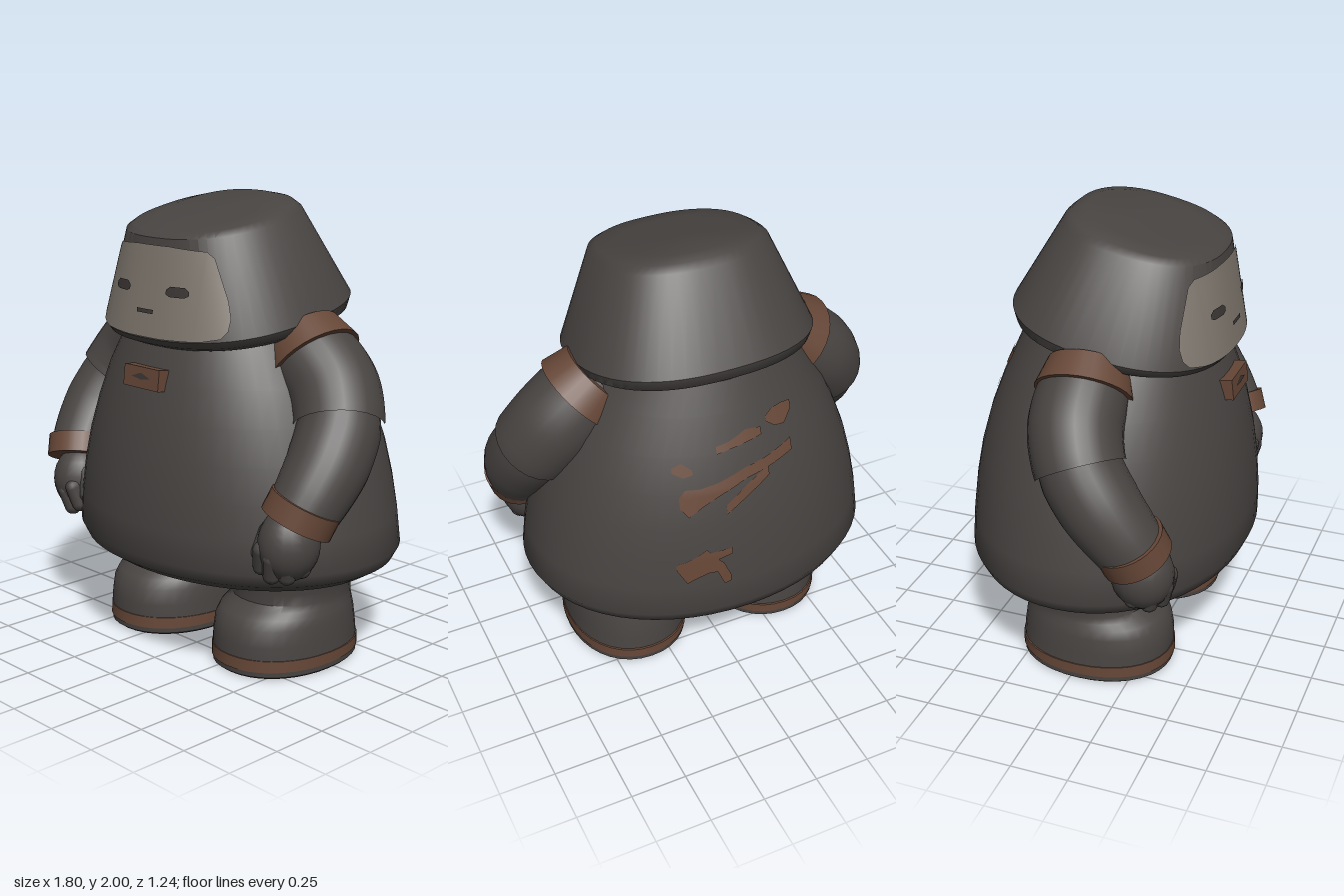
import * as THREE from 'three';
import { toCreasedNormals } from 'three/addons/utils/BufferGeometryUtils.js';

const V = (x, y, z) => new THREE.Vector3(x, y, z);
const material = (name, color) => Object.assign(new THREE.MeshStandardMaterial({ color }), { name });

// A ring is [frontY, backY, frontZ, backZ, halfWidth]
const BODY = [
  [0.387, 0.387, 0.32, -0.32, 0.48], [0.395, 0.395, 0.45, -0.45, 0.62], [0.418, 0.418, 0.54, -0.54, 0.71],
  [0.455, 0.455, 0.595, -0.595, 0.77], [0.51, 0.51, 0.62, -0.62, 0.8], [0.65, 0.65, 0.62, -0.615, 0.78],
  [0.8, 0.8, 0.61, -0.6, 0.75], [0.95, 0.95, 0.59, -0.575, 0.71], [1.1, 1.1, 0.56, -0.535, 0.655],
  [1.25, 1.25, 0.52, -0.48, 0.59], [1.4, 1.4, 0.47, -0.415, 0.5], [1.52, 1.52, 0.42, -0.36, 0.43],
];
const HOOD = [
  [1.385, 1.52, 0.4, -0.31, 0.42], [1.389, 1.53, 0.47, -0.37, 0.48], [1.404, 1.555, 0.51, -0.402, 0.515],
  [1.43, 1.61, 0.53, -0.415, 0.53], [1.84, 1.965, 0.47, -0.2, 0.37], [1.862, 1.99, 0.445, -0.17, 0.335],
  [1.885, 2.0, 0.36, -0.12, 0.25],
];
const LEG = [
  [0.08, 0.08, 0.378, -0.305, 0.272], [0.14, 0.14, 0.378, -0.3, 0.268], [0.21, 0.21, 0.366, -0.29, 0.262],
  [0.25, 0.25, 0.338, -0.28, 0.253], [0.275, 0.275, 0.295, -0.275, 0.242], [0.3, 0.3, 0.27, -0.275, 0.238],
  [0.35, 0.35, 0.27, -0.275, 0.242], [0.43, 0.43, 0.28, -0.28, 0.26],
];
const SOLE = [[0, 0, 0.365, -0.295, 0.262], [0.01, 0.01, 0.378, -0.306, 0.273], [0.035, 0.035, 0.38, -0.308, 0.274]];
const WELT = [[0.033, 0.033, 0.384, -0.311, 0.277], [0.085, 0.075, 0.382, -0.31, 0.276]];
const BODY_N = 2.05, HOOD_N = 2.4, LEG_N = 2.15;

const power = (v, e) => Math.sign(v) * Math.abs(v) ** e;

// Closed solid through rounded, optionally tilted, rings
function loft(rings, n, sides) {
  const pos = [], index = [];
  for (const [yF, yB, zF, zB, rx] of rings) {
    for (let j = 0; j < sides; j++) {
      const a = (j / sides) * Math.PI * 2, s = power(Math.sin(a), 2 / n);
      pos.push(rx * power(Math.cos(a), 2 / n), THREE.MathUtils.lerp(yB, yF, (s + 1) / 2),
        (zF + zB) / 2 + (s * (zF - zB)) / 2);
    }
  }
  const last = rings.length - 1;
  for (let i = 0; i < last; i++) for (let j = 0; j < sides; j++) {
    const a = i * sides + j, c = i * sides + (j + 1) % sides;
    index.push(a, a + sides, c, c, a + sides, c + sides);
  }
  for (const i of [0, last]) {
    const [yF, yB, zF, zB] = rings[i], centre = pos.length / 3;
    pos.push(0, (yF + yB) / 2, (zF + zB) / 2);
    for (let j = 0; j < sides; j++) {
      const a = i * sides + j, c = i * sides + (j + 1) % sides;
      index.push(centre, ...(i ? [c, a] : [a, c]));
    }
  }
  const g = new THREE.BufferGeometry();
  g.setAttribute('position', new THREE.Float32BufferAttribute(pos, 3));
  g.setIndex(index);
  return toCreasedNormals(g, 0.7);
}

// Depth of a lofted surface at (x, y); side is 1 for front, -1 for back
function surfaceZ(rings, n, side, x, y) {
  let lo = 0, hi = rings.length - 1.0001, z = 0;
  for (let k = 0; k < 30; k++) {
    const t = (lo + hi) / 2, i = Math.floor(t);
    const [yF, yB, zF, zB, rx] = rings[i].map((v, q) => THREE.MathUtils.lerp(v, rings[i + 1][q], t - i));
    const s = side * Math.max(0, 1 - Math.abs(x / rx) ** n) ** (1 / n);
    z = (zF + zB) / 2 + (s * (zF - zB)) / 2;
    if (THREE.MathUtils.lerp(yB, yF, (s + 1) / 2) < y) lo = t; else hi = t;
  }
  return z;
}

// Thin painted patch on a loft, outlined by columns [x, lowY, highY]
function patch(rings, n, side, columns, lift) {
  const pos = [], index = [], rows = 8, steps = 5, total = (columns.length - 1) * steps;
  for (let c = 0; c <= total; c++) {
    const i = Math.min(Math.floor(c / steps), columns.length - 2), f = c / steps - i;
    const [x, lo, hi] = columns[i].map((v, q) => THREE.MathUtils.lerp(v, columns[i + 1][q], f));
    for (let r = 0; r <= rows; r++) {
      const y = THREE.MathUtils.lerp(lo, hi, r / rows);
      pos.push(x, y, surfaceZ(rings, n, side, x, y) + side * lift);
      if (c < total && r < rows) {
        const a = c * (rows + 1) + r, b = a + rows + 1;
        index.push(...(side > 0 ? [a, b, a + 1, a + 1, b, b + 1] : [a, a + 1, b, a + 1, b + 1, b]));
      }
    }
  }
  const g = new THREE.BufferGeometry();
  g.setAttribute('position', new THREE.Float32BufferAttribute(pos, 3));
  g.setIndex(index);
  g.computeVertexNormals();
  return g;
}

// Tube whose radius changes evenly through the listed values
function limb(points, radii) {
  const curve = new THREE.CatmullRomCurve3(points), rings = 24, sides = 24;
  const g = new THREE.TubeGeometry(curve, rings, 1, sides), p = g.attributes.position, v = V();
  for (let i = 0; i <= rings; i++) {
    const t = (i / rings) * (radii.length - 1), k = Math.min(Math.floor(t), radii.length - 2);
    const r = THREE.MathUtils.lerp(radii[k], radii[k + 1], t - k), centre = curve.getPointAt(i / rings);
    for (let j = 0; j <= sides; j++) {
      const q = i * (sides + 1) + j;
      v.fromBufferAttribute(p, q).sub(centre).multiplyScalar(r).add(centre);
      p.setXYZ(q, v.x, v.y, v.z);
    }
  }
  return g;
}

export function createModel() {
  const model = new THREE.Group();
  model.name = 'hoodedFigure';
  const cloth = material('charcoal cloth', 0x484442), leather = material('brown leather', 0x664737);
  const skin = material('dusty face', 0x817970), dark = material('dark detail', 0x3b3735);
  const add = (parent, name, geometry, mat, position) => {
    const mesh = new THREE.Mesh(geometry, mat);
    mesh.name = name;
    if (position) mesh.position.copy(position);
    parent.add(mesh);
    return mesh;
  };
  const band = (parent, name, centre, axis, lowerRadius, upperRadius, height) =>
    add(parent, name, new THREE.CylinderGeometry(lowerRadius, upperRadius, height, 28), leather, centre)
      .quaternion.setFromUnitVectors(V(0, 1, 0), axis.normalize());

  add(model, 'robe', loft(BODY, BODY_N, 56), cloth);
  add(model, 'hood', loft(HOOD, HOOD_N, 56), cloth);

  // Face set on the front of the hood
  const half = [[-0.385, 1.49, 1.54], [-0.365, 1.46, 1.61], [-0.295, 1.445, 1.775], [-0.265, 1.442, 1.8], [-0.1, 1.436, 1.812]];
  const mirrored = half.map(([x, lo, hi]) => [-x, lo, hi]).reverse();
  add(model, 'face', patch(HOOD, HOOD_N, 1, [...half, ...mirrored], 0.008), skin);
  for (const s of [-1, 1]) {
    const x = s * 0.168;
    add(model, 'eye', patch(HOOD, HOOD_N, 1,
      [[x - 0.056, 1.622, 1.64], [x - 0.035, 1.613, 1.655], [x + 0.035, 1.613, 1.655], [x + 0.056, 1.622, 1.64]], 0.014), dark);
  }
  add(model, 'mouth', patch(HOOD, HOOD_N, 1, [[-0.05, 1.535, 1.552], [0.05, 1.535, 1.552]], 0.014), dark);

  // Chest clasp
  const clasp = new THREE.Group();
  clasp.name = 'chestClasp';
  clasp.position.set(0, 1.262, 0.525);
  clasp.rotation.x = -0.12;
  add(clasp, 'claspPlate', new THREE.BoxGeometry(0.22, 0.09, 0.055), leather);
  const slot = new THREE.Shape([[0, -0.008], [0.06, 0], [0, 0.02], [-0.06, 0]].map(([x, y]) => new THREE.Vector2(x, y)));
  add(clasp, 'claspSlot', new THREE.ShapeGeometry(slot), dark, V(0, 0, 0.03));
  model.add(clasp);

  // Worn stains on the back of the robe
  const stains = [
    [[-0.27, 1.32, 1.35], [-0.22, 1.28, 1.36], [-0.17, 1.29, 1.36], [-0.13, 1.32, 1.34]],
    [[-0.1, 1.28, 1.31], [-0.03, 1.27, 1.32], [0.05, 1.26, 1.29], [0.11, 1.25, 1.28]],
    [[0.22, 1.18, 1.2], [0.26, 1.17, 1.23], [0.3, 1.19, 1.21]],
    [[-0.24, 1.165, 1.215], [-0.1, 1.14, 1.185], [0, 1.125, 1.17], [0.12, 1.08, 1.135], [0.2, 1.04, 1.12], [0.26, 1, 1.12], [0.29, 1.04, 1.09]],
    [[-0.11, 1.11, 1.15], [0, 1.05, 1.1], [0.1, 0.99, 1.03]],
    [[0.1, 0.66, 0.69], [0.13, 0.65, 0.76], [0.16, 0.72, 0.79], [0.2, 0.72, 0.84], [0.25, 0.7, 0.81], [0.29, 0.68, 0.79], [0.33, 0.75, 0.78]],
    [[0.09, 0.8, 0.83], [0.2, 0.77, 0.82]],
  ];
  for (const columns of stains) add(model, 'backStain', patch(BODY, BODY_N, -1, columns, 0.005), leather);

  for (const s of [1, -1]) {
    // Leg and boot
    const leg = new THREE.Group();
    leg.name = s > 0 ? 'leftLeg' : 'rightLeg';
    leg.position.x = s * 0.345;
    add(leg, 'boot', loft(LEG, LEG_N, 36), cloth);
    add(leg, 'bootWelt', loft(WELT, LEG_N, 36), leather);
    add(leg, 'bootSole', loft(SOLE, LEG_N, 36), cloth);
    model.add(leg);

    // Arm, with the sleeve slightly wider than the forearm
    const arm = new THREE.Group();
    arm.name = s > 0 ? 'leftArm' : 'rightArm';
    arm.scale.x = s;
    add(arm, 'upperSleeve', limb([V(0.41, 1.4, 0.035), V(0.51, 1.33, 0.035), V(0.615, 1.235, 0.045), V(0.68, 1.14, 0.08), V(0.7, 1.1, 0.1)],
      [0.15, 0.188, 0.196, 0.196, 0.193, 0.189]), cloth);
    add(arm, 'forearm', limb([V(0.66, 1.18, 0.07), V(0.7, 1.1, 0.1), V(0.728, 0.97, 0.19), V(0.722, 0.86, 0.27), V(0.705, 0.77, 0.33)],
      [0.165, 0.175, 0.172, 0.16, 0.145]), cloth);
    band(arm, 'shoulderBand', V(0.465, 1.385, 0.035), V(0.72, -0.69, 0.08), 0.206, 0.172, 0.125);
    band(arm, 'cuff', V(0.71, 0.788, 0.325), V(-0.27, -0.87, 0.33), 0.154, 0.154, 0.095);

    // Loosely closed hand
    const palm = add(arm, 'palm', new THREE.SphereGeometry(1, 20, 14), cloth, V(0.672, 0.655, 0.355));
    palm.scale.set(0.125, 0.155, 0.135);
    [[0.605, 0.6, 0.44], [0.66, 0.575, 0.44], [0.712, 0.575, 0.405], [0.735, 0.595, 0.345]].forEach(([x, y, z]) => {
      const finger = add(arm, 'finger', new THREE.CapsuleGeometry(0.04, 0.08, 5, 10), cloth, V(x, y, z));
      finger.rotation.set(0.25, 0, -0.25);
    });
    const thumb = add(arm, 'thumb', new THREE.CapsuleGeometry(0.038, 0.1, 5, 10), cloth, V(0.575, 0.655, 0.405));
    thumb.rotation.set(-0.2, 0, -0.3);
    model.add(arm);
  }
  return model;
}
